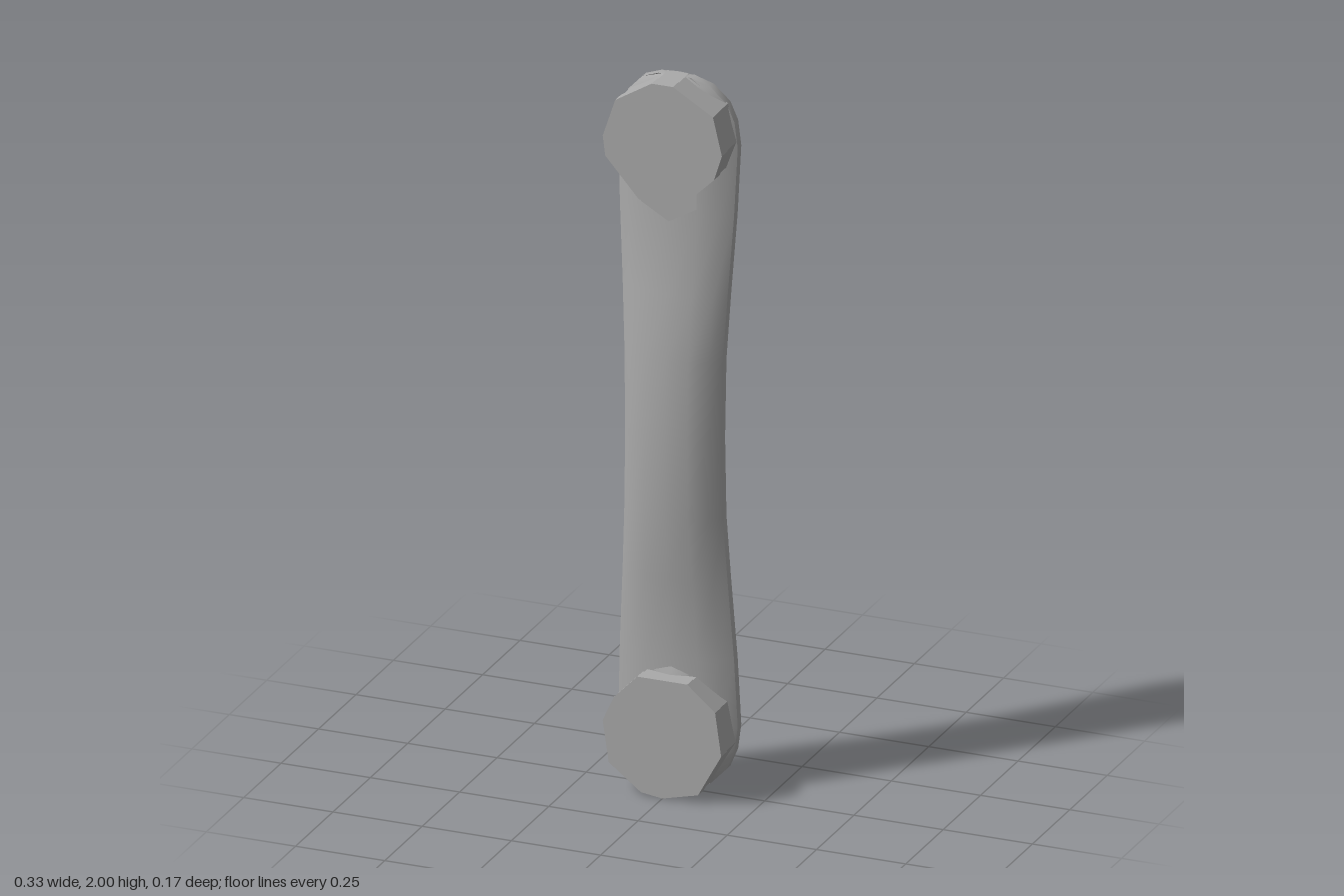
import * as THREE from 'three';
import { toCreasedNormals } from 'three/addons/utils/BufferGeometryUtils.js';

const mix = THREE.MathUtils.lerp;

// Cross-section of the grip: half width w, front z, side z, back z
function section([y, w, zf, zm, zb]) {
  const half = [
    [0, zf],
    [0.45 * w, mix(zf, zm, 0.1)],
    [0.8 * w, mix(zf, zm, 0.4)],
    [w, zm + 0.012],
    [w, zm - 0.012],
    [0.85 * w, mix(zm, zb, 0.62)],
    [0.42 * w, mix(zm, zb, 0.93)],
    [0, zb],
  ];
  const mirrored = half.slice(1, -1).reverse().map(([x, z]) => [-x, z]);
  return [...half, ...mirrored].map(([x, z]) => [x, y, z]);
}

// Skin over a stack of rings, closed at both ends
function loft(rings) {
  const n = rings[0].length, last = rings.length - 1;
  const pos = rings.flat(2), index = [];
  for (let r = 0; r < last; r++) {
    for (let i = 0; i < n; i++) {
      const j = (i + 1) % n;
      const a = r * n + i, b = r * n + j, c = a + n, d = b + n;
      index.push(a, b, d, a, d, c);
    }
  }
  for (let i = 1; i < n - 1; i++) {
    index.push(0, i + 1, i);
    index.push(last * n, last * n + i, last * n + i + 1);
  }
  const geo = new THREE.BufferGeometry();
  geo.setAttribute('position', new THREE.Float32BufferAttribute(pos, 3));
  geo.setIndex(index);
  return toCreasedNormals(geo, 0.65);
}

// Flat-faced polygon block from z0 to z1
function block(points, scale, z0, z1) {
  const shape = new THREE.Shape(points.map(([x, y]) => new THREE.Vector2(x * scale, y * scale)));
  const geo = new THREE.ExtrudeGeometry(shape, { depth: z1 - z0, bevelEnabled: false });
  return geo.translate(0, 0, z0);
}

export function createModel() {
  const model = new THREE.Group();
  model.name = 'pullHandle';
  const metal = new THREE.MeshStandardMaterial({ color: 0xaaaaaa });
  metal.name = 'grey metal';

  const add = (name, geo, y = 0) => {
    const mesh = new THREE.Mesh(geo, metal);
    mesh.name = name;
    mesh.position.y = y;
    model.add(mesh);
  };

  // Waisted grip, lower half rows then mirrored upward: y, w, front, side, back
  const lower = [
    [0.004, 0.045, 0.01, -0.008, -0.025],
    [0.025, 0.095, 0.02, -0.018, -0.05],
    [0.07, 0.138, 0.03, -0.026, -0.07],
    [0.12, 0.158, 0.03, -0.03, -0.082],
    [0.19, 0.167, 0.03, -0.03, -0.087],
    [0.38, 0.16, 0.03, -0.022, -0.082],
    [0.6, 0.147, 0.052, -0.01, -0.072],
    [0.78, 0.138, 0.072, 0, -0.063],
  ];
  const upper = lower.map(([y, ...rest]) => [2 - y, ...rest]).reverse();
  const rows = [...lower, [1, 0.135, 0.074, 0.002, -0.058], ...upper];
  add('grip', loft(rows.map(section)));

  // Mounting feet: a faceted pad on a neck at each end
  const lowerPad = [
    [0, -0.163], [0.1, -0.138], [0.165, -0.02], [0.148, 0.1], [0.07, 0.167],
    [-0.07, 0.167], [-0.135, 0.1], [-0.167, 0.03], [-0.15, -0.085], [-0.06, -0.155],
  ];
  const upperPad = [
    [0.03, 0.167], [-0.03, 0.167], [-0.132, 0.105], [-0.167, 0], [-0.16, -0.055],
    [-0.065, -0.163], [0.06, -0.158], [0.145, -0.075], [0.167, -0.005], [0.142, 0.1],
  ];
  for (const [side, points, y] of [['lower', lowerPad, 0.167], ['upper', upperPad, 1.833]]) {
    add(side + 'Pad', block(points, 1, 0.05, 0.088), y);
    add(side + 'Neck', block(points, 0.98, -0.02, 0.05), y);
    // Small gusset blending the neck into the grip
    const inward = side === 'lower' ? 1 : -1;
    const gusset = new THREE.ConeGeometry(0.09, 0.06, 6).rotateX(inward * Math.PI / 2);
    gusset.scale(1, 1, 0.5).translate(0, inward * 0.14, 0.03);
    add(side + 'Gusset', gusset, y);
  }
  return model;
}
